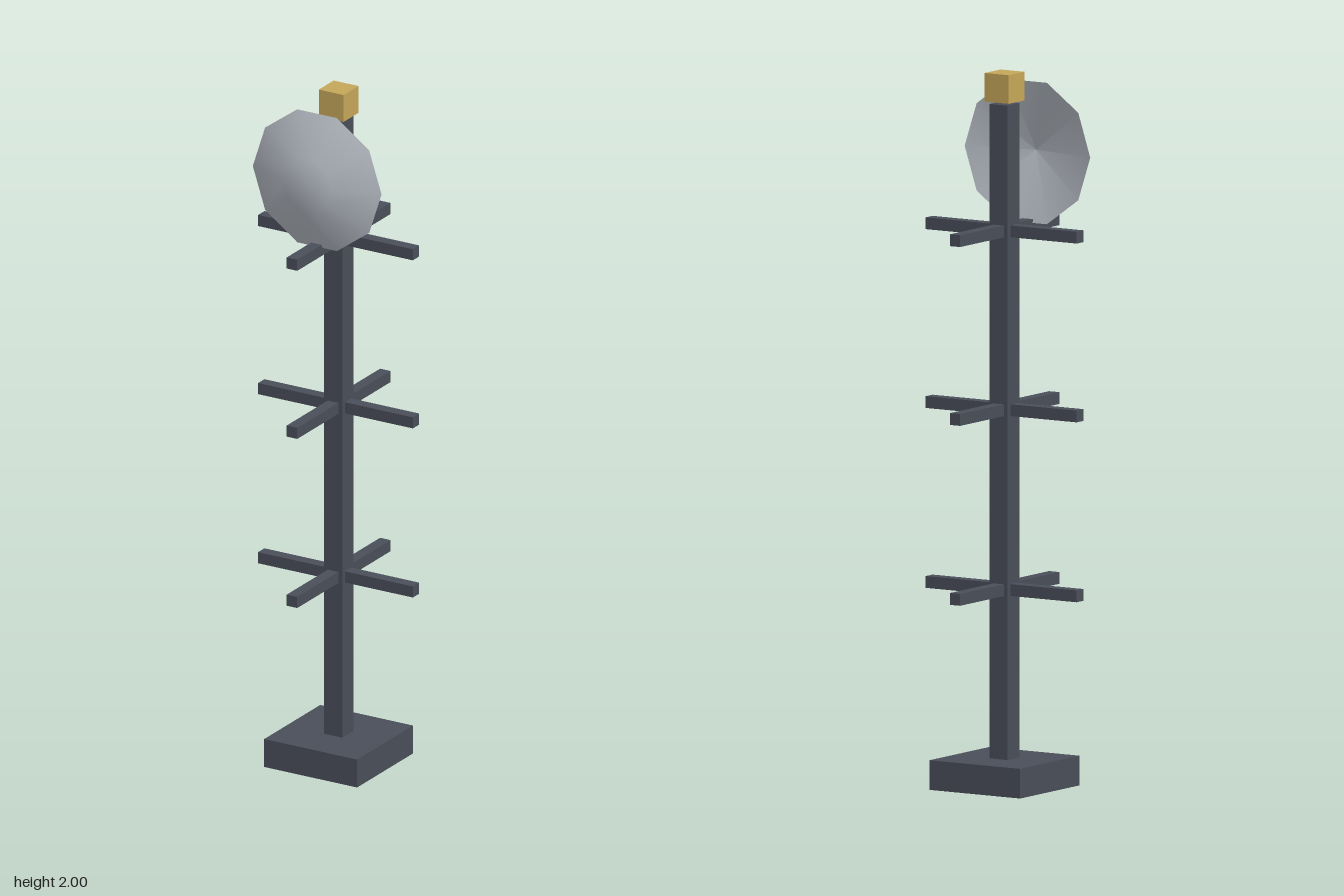
import * as THREE from 'three';

export function createModel() {
  const model = new THREE.Group();
  model.name = 'antennaMast';

  const material = (name, color, side = THREE.FrontSide) => {
    const m = new THREE.MeshStandardMaterial({ color, side });
    m.name = name;
    return m;
  };
  const darkSteel = material('dark steel', 0x4a4f5a);
  const brass = material('brass', 0xc8a85a);
  const silver = material('silver', 0xbcc2cb);

  const box = (name, w, h, d, y, mat) => {
    const mesh = new THREE.Mesh(new THREE.BoxGeometry(w, h, d), mat);
    mesh.name = name;
    mesh.position.y = y;
    model.add(mesh);
  };

  // Base, mast and beacon
  box('base', 0.3, 0.083, 0.3, 0.0415, darkSteel);
  box('mast', 0.06, 1.833, 0.06, 0.9965, darkSteel);
  box('beacon', 0.08, 0.08, 0.08, 1.96, brass);

  // Crossed bars on three levels
  [0.557, 1.06, 1.56].forEach((y, i) => {
    box(`crossbarSide${i + 1}`, 0.5, 0.033, 0.034, y, darkSteel);
    box(`crossbarFront${i + 1}`, 0.034, 0.033, 0.5, y, darkSteel);
  });

  // Ten-sided dish: domed front shell and hollow conical back
  const dish = new THREE.Group();
  dish.name = 'dish';
  dish.position.set(0, 1.764, 0.115);
  const shell = (name, profile) => {
    const points = profile.map(([r, h]) => new THREE.Vector2(r, h));
    const geometry = new THREE.LatheGeometry(points, 10, Math.PI / 2);
    geometry.rotateX(Math.PI / 2);
    const mesh = new THREE.Mesh(geometry, silver);
    mesh.name = name;
    dish.add(mesh);
  };
  shell('dishFront', [[0.208, 0], [0.08, 0.05], [0, 0.05]]);
  shell('dishBack', [[0, 0.045], [0.208, 0]]);
  model.add(dish);

  return model;
}
